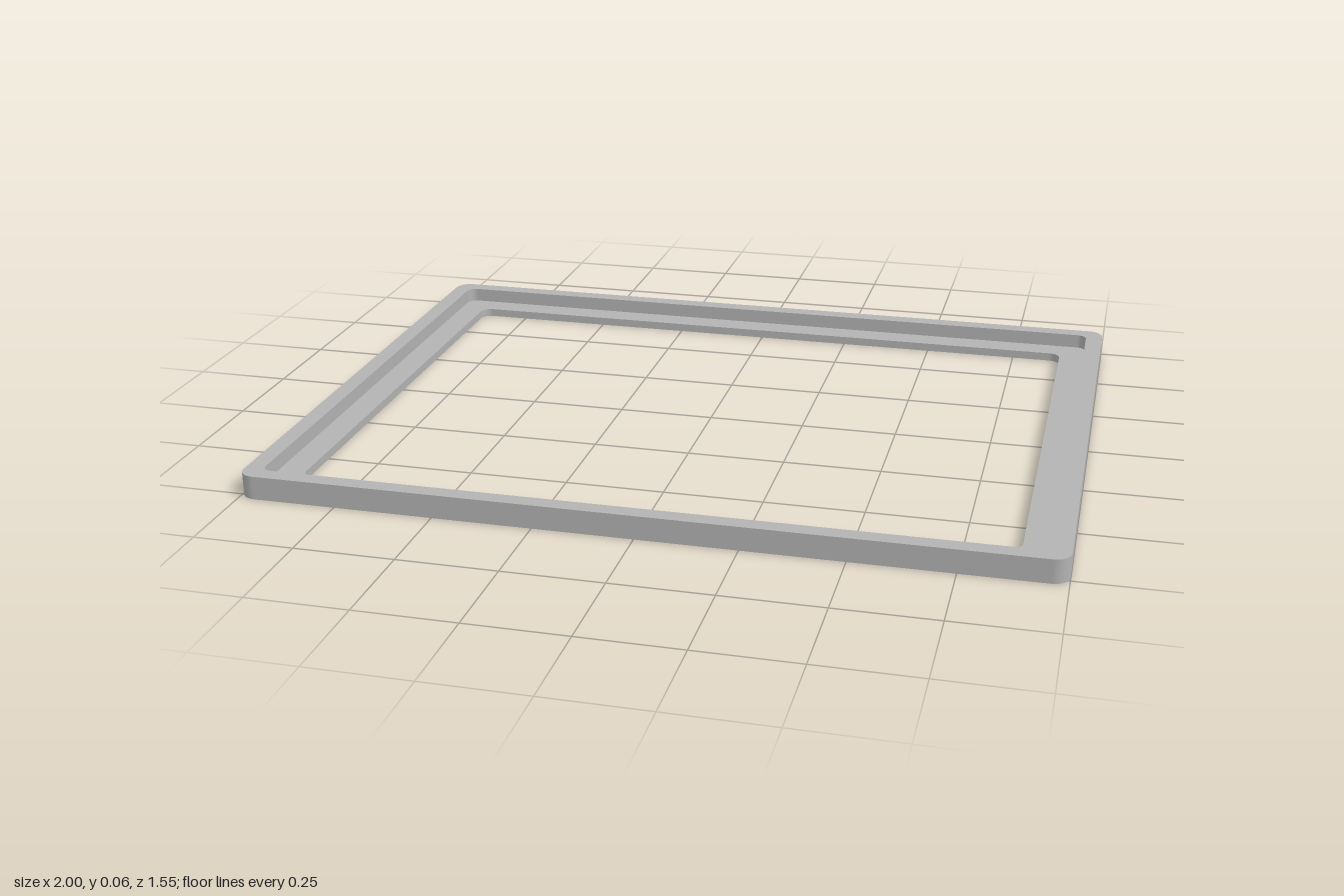
import * as THREE from 'three';
import { mergeGeometries } from 'three/addons/utils/BufferGeometryUtils.js';

const ARC_STEPS = 10;

// One rounded-rectangle loop at height y, with half sizes hx and hz
function roundedLoop({ hx, hz, r, y }) {
  const points = [];
  const corners = [[1, 1], [-1, 1], [-1, -1], [1, -1]];
  corners.forEach(([sx, sz], q) => {
    for (let i = 0; i <= ARC_STEPS; i++) {
      const a = (q + i / ARC_STEPS) * Math.PI / 2;
      points.push([sx * (hx - r) + r * Math.cos(a), y, sz * (hz - r) + r * Math.sin(a)]);
    }
  });
  return points;
}

// Surface joining two loops; separate strips keep the frame's edges sharp
function strip(from, to) {
  const n = from.length;
  const index = [];
  for (let j = 0; j < n; j++) {
    const k = (j + 1) % n;
    index.push(j, n + j, k, k, n + j, n + k);
  }
  const geometry = new THREE.BufferGeometry();
  geometry.setAttribute('position', new THREE.Float32BufferAttribute([...from, ...to].flat(), 3));
  geometry.setIndex(index);
  geometry.computeVertexNormals();
  return geometry;
}

export function createModel() {
  const grey = new THREE.MeshStandardMaterial({ color: 0xb3b3b3 });
  grey.name = 'light grey';

  const height = 0.06, ledge = 0.022;
  const outer = { hx: 1, hz: 0.773, r: 0.04 };
  const rebate = { hx: 0.955, hz: 0.73, r: 0.025 };
  const opening = { hx: 0.885, hz: 0.66, r: 0.03 };

  // Stepped profile: outer wall, rim, rebate wall, ledge, opening wall, underside
  const loops = [
    { ...outer, y: 0 },
    { ...outer, y: height },
    { ...rebate, y: height },
    { ...rebate, y: ledge },
    { ...opening, y: ledge },
    { ...opening, y: 0 },
  ].map(roundedLoop);
  const strips = loops.map((loop, i) => strip(loop, loops[(i + 1) % loops.length]));

  const frame = new THREE.Mesh(mergeGeometries(strips), grey);
  frame.name = 'rebatedFrame';

  const model = new THREE.Group();
  model.name = 'rectangularFrame';
  model.add(frame);
  return model;
}
